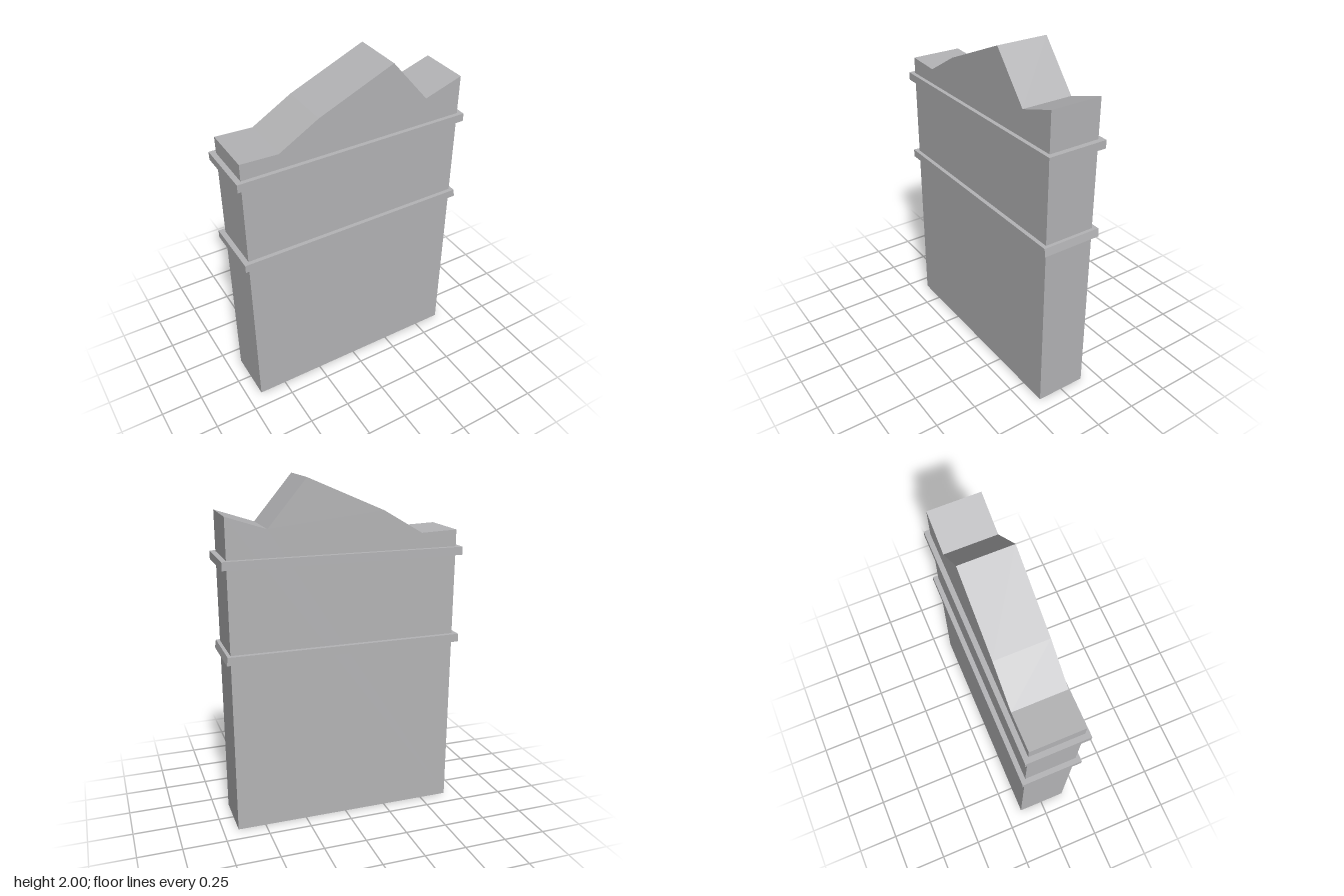
import * as THREE from 'three';

export function createModel() {
  const group = new THREE.Group();
  const stone = new THREE.MeshStandardMaterial({ color: 0xb4b4b6 });
  stone.name = 'grey stone';

  // Wall slab with a broken, jagged top edge
  const outline = [
    [-0.665, 0], [0.663, 0], [0.665, 1.815], [0.44, 1.74],
    [0.22, 2], [-0.22, 1.81], [-0.45, 1.675], [-0.665, 1.683],
  ].map(([x, y]) => new THREE.Vector2(x, y));
  const slab = new THREE.ExtrudeGeometry(new THREE.Shape(outline), { depth: 0.304, bevelEnabled: false });
  slab.translate(0, 0, -0.15);
  const wall = new THREE.Mesh(slab, stone);
  wall.name = 'wall';
  group.add(wall);

  // Moulding bands that run round the wall, each slightly uneven at its ends
  function addBand(name, bottom, top, bottomHalf, topHalf) {
    const geometry = new THREE.BoxGeometry(2, 1, 0.356);
    const pos = geometry.attributes.position;
    for (let i = 0; i < pos.count; i++) {
      const upper = pos.getY(i) > 0;
      const half = upper ? topHalf : bottomHalf;
      pos.setX(i, pos.getX(i) > 0 ? half : -0.695);
      pos.setY(i, upper ? top : bottom);
    }
    geometry.computeVertexNormals();
    const band = new THREE.Mesh(geometry, stone);
    band.name = name;
    group.add(band);
  }
  addBand('upperBand', 1.54, 1.587, 0.694, 0.694);
  addBand('lowerBand', 1.02, 1.067, 0.691, 0.684);

  return group;
}
